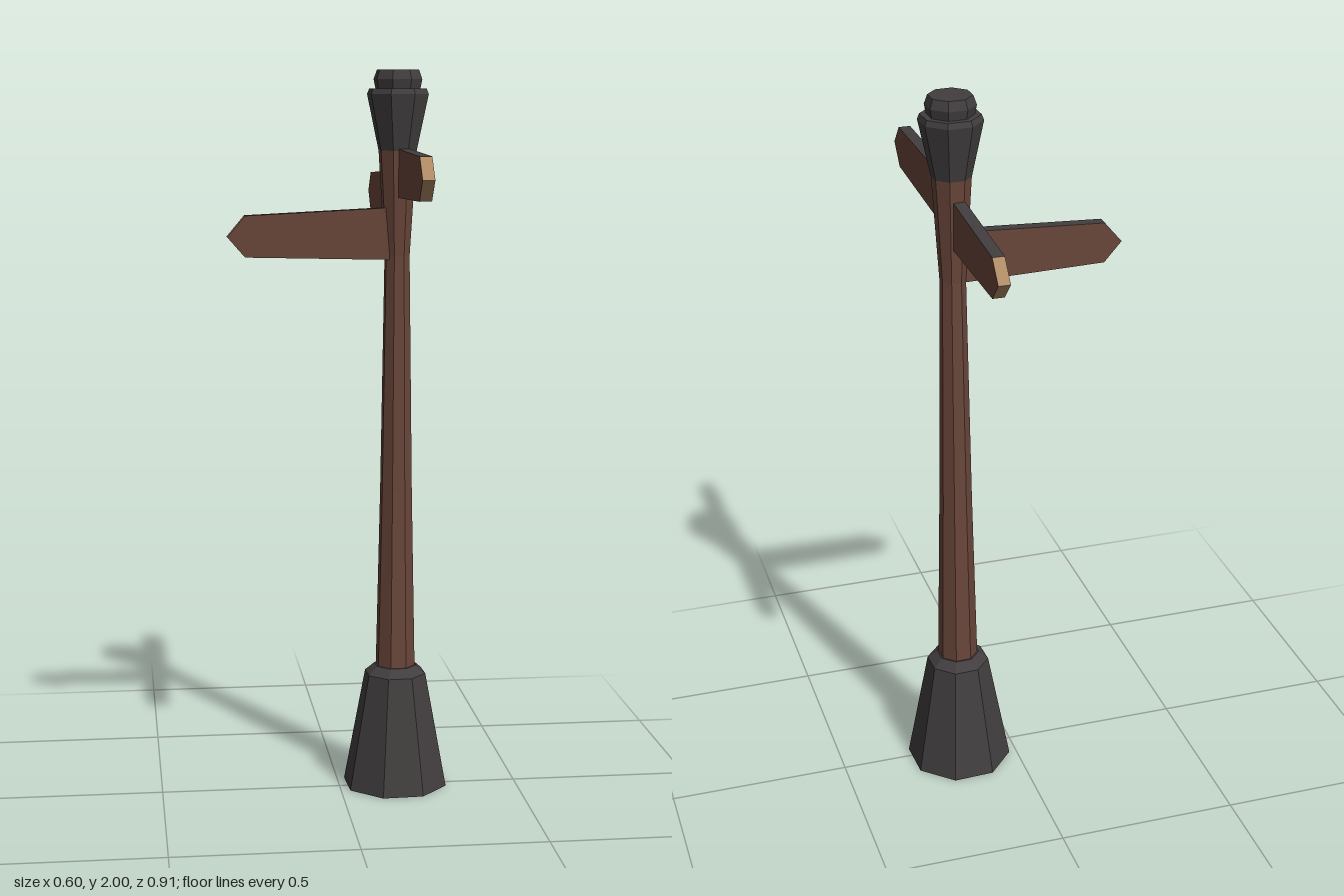
import * as THREE from 'three';

const makeMaterial = (name, color) => {
  const m = new THREE.MeshStandardMaterial({ color, flatShading: true });
  m.name = name;
  return m;
};

export function createModel() {
  const wood = makeMaterial('brown wood', 0x69463a);
  const iron = makeMaterial('dark iron', 0x423e3f);
  const cutWood = makeMaterial('pale cut wood', 0xb08a66);

  const model = new THREE.Group();
  model.name = 'signpost';
  const PX = 0.16, PZ = -0.018;

  // Eight-sided turned part, from [radius, height] pairs listed bottom to top
  const turned = (name, profile, material) => {
    const points = profile.map(([r, y]) => new THREE.Vector2(r, y));
    const geometry = new THREE.LatheGeometry(points, 8, THREE.MathUtils.degToRad(25));
    const mesh = new THREE.Mesh(geometry, material);
    mesh.name = name;
    mesh.position.set(PX, 0, PZ);
    model.add(mesh);
  };

  turned('base', [[0, 0], [0.148, 0], [0.087, 0.325], [0.06, 0.348], [0, 0.348]], iron);
  turned('pole', [[0.056, 0.34], [0.045, 0.85], [0.035, 1.5], [0.053, 1.79]], wood);
  turned('cap', [[0, 1.785], [0.053, 1.785], [0.085, 1.935], [0.079, 1.95], [0.062, 1.95],
    [0.067, 1.975], [0.058, 2], [0, 2]], iron);

  // Pointed board running along local +x; faces, edges and tip are coloured by direction
  const board = (name, { x, z, turn, root, shoulder, tip }) => {
    const shape = new THREE.Shape([
      [0.01, root[0]], [shoulder[0], shoulder[1]], [tip[0], tip[1]],
      [shoulder[0], shoulder[2]], [0.01, root[1]],
    ].map(([u, v]) => new THREE.Vector2(u, v)));
    const depth = 0.032;
    const geometry = new THREE.ExtrudeGeometry(shape, { depth, bevelEnabled: false });
    geometry.translate(0, 0, -depth / 2);
    geometry.clearGroups();
    const normal = geometry.attributes.normal;
    for (let i = 0; i < normal.count; i += 3) {
      const isFace = Math.abs(normal.getZ(i)) > 0.9;
      const isTip = normal.getX(i) > 0.4;
      geometry.addGroup(i, 3, isFace ? 0 : isTip ? 2 : 1);
    }
    const mesh = new THREE.Mesh(geometry, [wood, iron, cutWood]);
    mesh.name = name;
    mesh.position.set(x, 0, z);
    mesh.rotation.y = turn;
    model.add(mesh);
  };

  board('rightSign', {
    x: PX, z: -0.0115, turn: Math.PI,
    root: [1.49, 1.632], shoulder: [0.417, 1.5, 1.612], tip: [0.465, 1.555],
  });
  board('frontSign', {
    x: 0.173, z: PZ, turn: -Math.PI / 2,
    root: [1.658, 1.79], shoulder: [0.42, 1.67, 1.783], tip: [0.472, 1.726],
  });
  board('backSign', {
    x: 0.152, z: PZ, turn: Math.PI / 2,
    root: [1.595, 1.729], shoulder: [0.384, 1.602, 1.71], tip: [0.434, 1.655],
  });

  return model;
}
